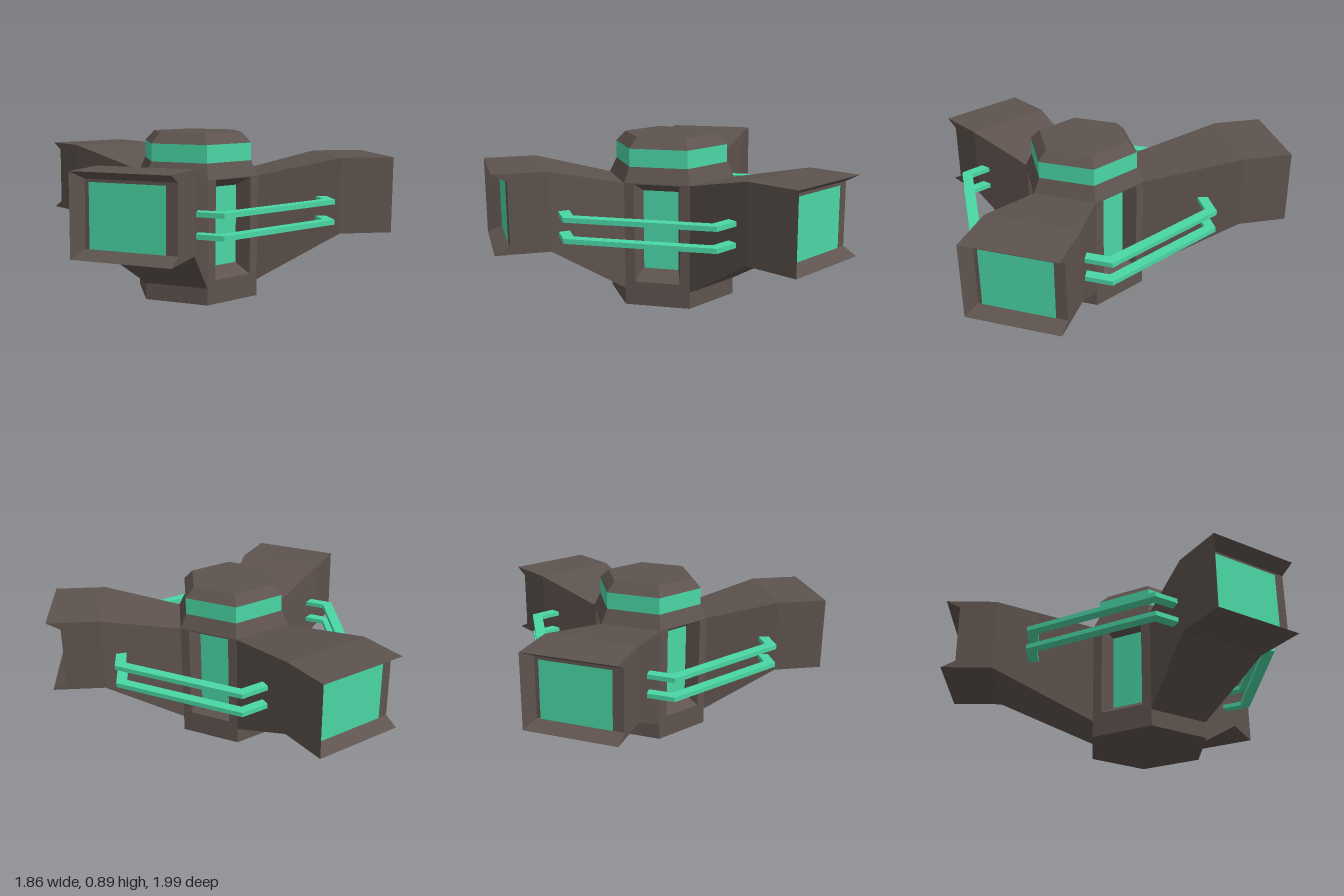
import * as THREE from 'three';

const brown = new THREE.MeshStandardMaterial({ color: 0x5e534e });
brown.name = 'brownHull';
const green = new THREE.MeshStandardMaterial({ color: 0x4ad6a5 });
green.name = 'greenGlow';

const R = 0.35;                          // core circumradius
const APOTHEM = R * Math.cos(Math.PI / 6);
const BASE_TOP = 0.09, BODY_TOP = 0.66;
const deg = Math.PI / 180;

function mesh(name, geometry, material) {
  const m = new THREE.Mesh(geometry, material);
  m.name = name;
  return m;
}

// Flat-faced geometry from convex polygons of [x, y, z] corners
function faceted(polygons) {
  const pos = [];
  for (const p of polygons)
    for (let i = 1; i < p.length - 1; i++) pos.push(...p[0], ...p[i], ...p[i + 1]);
  const g = new THREE.BufferGeometry();
  g.setAttribute('position', new THREE.Float32BufferAttribute(pos, 3));
  g.computeVertexNormals();
  return g;
}

// Rectangle at depth z, counter-clockwise as seen from outside
const rect = (x0, x1, y0, y1, z) => [[x0, y0, z], [x1, y0, z], [x1, y1, z], [x0, y1, z]];

// Quads joining two rectangles, optionally without the +x side
function join(a, b, skip = -1) {
  return [0, 1, 2, 3].filter(i => i !== skip)
    .map(i => [a[i], a[(i + 1) % 4], b[(i + 1) % 4], b[i]]);
}

// Hexagonal slice of the core
function hexSlice(name, rTop, rBottom, y0, y1, material, open) {
  const g = new THREE.CylinderGeometry(rTop, rBottom, y1 - y0, 6, 1, open).toNonIndexed();
  g.computeVertexNormals();
  g.translate(0, (y0 + y1) / 2, 0);
  return mesh(name, g, material);
}

// Docking arm along local +z, with a notched, recessed mouth
function makeArm(angle, elbowZ, endZ, lift) {
  const arm = new THREE.Group();
  arm.name = 'arm';
  const w = 0.252, y0 = 0.345 + lift, y1 = 0.755 + lift, inset = 0.04, depth = 0.077;
  const root = rect(-R / 2, R / 2, BASE_TOP, BODY_TOP, APOTHEM);
  const elbow = rect(-w, w, y0, y1, elbowZ);
  const end = rect(-w, w, y0, y1, endZ);
  const inner = rect(-w + inset, w, y0 + inset, y1 - inset, endZ - depth);
  arm.add(mesh('armHull', faceted([
    ...join(root, elbow),
    ...join(elbow, end, 1),
    [elbow[1], elbow[2], inner[2], inner[1]],   // shorter notched side
    [elbow[1], inner[1], end[1]],
    [elbow[2], end[2], inner[2]],
    ...join(end, inner, 1),
    inner,
  ]), brown));
  const panel = mesh('armPanel', new THREE.PlaneGeometry(0.385, 0.315), green);
  panel.position.set(0.003, y0 + 0.198, endZ - depth + 0.004);
  arm.add(panel);
  arm.rotation.y = angle * deg;
  return arm;
}

// Core wall with a deep window along local +z
function makeWindowWall(angle) {
  const wall = new THREE.Group();
  wall.name = 'windowWall';
  const face = rect(-R / 2, R / 2, BASE_TOP, BODY_TOP, APOTHEM);
  const opening = rect(-0.122, 0.122, 0.128, 0.655, APOTHEM);
  const pane = rect(-0.095, 0.095, 0.182, 0.608, APOTHEM - 0.085);
  wall.add(mesh('windowFrame', faceted([...join(face, opening), ...join(opening, pane)]), brown));
  wall.add(mesh('windowPane', faceted([pane]), green));
  wall.rotation.y = angle * deg;
  return wall;
}

// Hexagonal rail circling the core
function makeRail(y) {
  const hex = r => Array.from({ length: 6 }, (_, i) => {
    const a = (30 + i * 60) * deg;
    return new THREE.Vector2(r * Math.cos(a), r * Math.sin(a));
  });
  const shape = new THREE.Shape(hex(0.764));
  shape.holes.push(new THREE.Path(hex(0.698)));
  const g = new THREE.ExtrudeGeometry(shape, { depth: 0.025, bevelEnabled: false });
  g.rotateX(-Math.PI / 2);
  const rail = mesh('rail', g, green);
  rail.position.set(0, y, -0.005);
  return rail;
}

export function createModel() {
  const station = new THREE.Group();
  station.name = 'station';

  // Core
  station.add(
    hexSlice('base', R, R, 0, BASE_TOP, brown, false),
    hexSlice('shoulder', 0.31, R, BODY_TOP, 0.74, brown, true),
    hexSlice('lightBand', 0.31, 0.31, 0.74, 0.835, green, true),
    hexSlice('roof', 0.255, 0.31, 0.835, 0.89, brown, false),
  );
  for (const a of [90, 210, 330]) station.add(makeWindowWall(a));

  // Three arms of differing length
  station.add(
    makeArm(30, 0.70, 0.98, 0),
    makeArm(150, 0.74, 1.03, 0),
    makeArm(270, 0.85, 1.128, 0.02),
  );

  // Rails
  for (const y of [0.418, 0.525]) station.add(makeRail(y));

  station.position.set(0.189, 0, 0.013);
  const model = new THREE.Group();
  model.name = 'model';
  model.add(station);
  return model;
}
